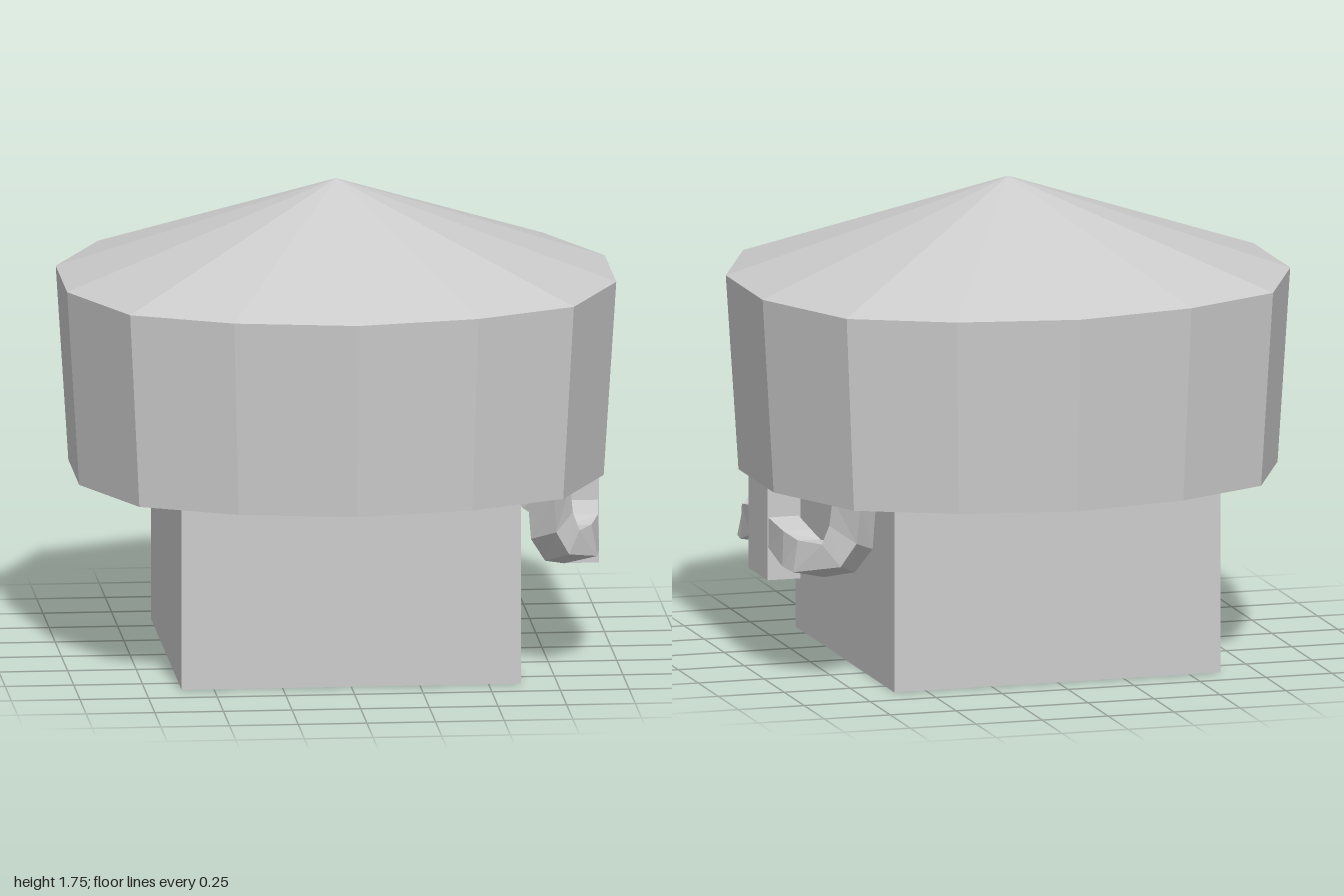
import * as THREE from 'three';
import { ConvexGeometry } from 'three/addons/geometries/ConvexGeometry.js';

const material = new THREE.MeshStandardMaterial({ color: 0xcccccc, flatShading: true });

function addMesh(parent, name, geometry) {
  const mesh = new THREE.Mesh(geometry, material);
  mesh.name = name;
  parent.add(mesh);
  return mesh;
}

// Flat-faced skin over rings of four corners, with both ends closed; side = -1 mirrors it in z
function loft(rings, side) {
  const pos = [];
  const tri = (a, b, c) => {
    for (const [x, y, z] of side > 0 ? [a, b, c] : [a, c, b]) pos.push(x, y, z * side);
  };
  const quad = (a, b, c, d) => { tri(a, b, c); tri(a, c, d); };
  for (let i = 0; i < rings.length - 1; i++) {
    const p = rings[i], q = rings[i + 1];
    for (let k = 0; k < 4; k++) {
      const n = (k + 1) % 4;
      quad(p[k], p[n], q[n], q[k]);
    }
  }
  const a = rings[0], b = rings[rings.length - 1];
  quad(a[3], a[2], a[1], a[0]);
  quad(b[0], b[1], b[2], b[3]);
  const geometry = new THREE.BufferGeometry();
  geometry.setAttribute('position', new THREE.Float32BufferAttribute(pos, 3));
  geometry.computeVertexNormals();
  return geometry;
}

export function createModel() {
  const model = new THREE.Group();
  model.name = 'model';

  // Square base block
  addMesh(model, 'base', new THREE.BoxGeometry(1.236, 0.7, 1.236)).position.y = 0.35;

  // Fourteen-sided cap: tapered wall with a shallow pointed roof
  const quarter = [[0, 0.908], [0.445, 0.826], [0.808, 0.648], [1, 0.23]];
  const points = [new THREE.Vector3(0, 1.755, 0)];
  for (const [x, z] of quarter)
    for (const sx of x ? [1, -1] : [1])
      for (const sz of [1, -1]) {
        points.push(new THREE.Vector3(x * sx, 1.4, z * sz));
        points.push(new THREE.Vector3(x * sx * 0.955, 0.682, z * sz * 0.955));
      }
  addMesh(model, 'cap', new ConvexGeometry(points));

  // Handle: centre grip with two curved arms rising to the cap
  const handle = new THREE.Group();
  handle.name = 'handle';
  model.add(handle);
  addMesh(handle, 'handleGrip', new THREE.BoxGeometry(0.125, 0.36, 0.235)).position.set(0.885, 0.516, 0);

  // Ring corners: ridge, outer, back, inner
  const rings = [
    [[0.81, 0.7, 0.48], [0.74, 0.7, 0.6], [0.65, 0.7, 0.5], [0.73, 0.7, 0.385]],
    [[0.82, 0.6, 0.47], [0.75, 0.55, 0.58], [0.665, 0.51, 0.5], [0.75, 0.6, 0.39]],
    [[0.845, 0.53, 0.46], [0.8, 0.46, 0.545], [0.72, 0.42, 0.46], [0.78, 0.525, 0.41]],
    [[0.9, 0.525, 0.34], [0.92, 0.41, 0.35], [0.8, 0.383, 0.34], [0.81, 0.52, 0.33]],
    [[0.93, 0.545, 0.26], [0.935, 0.415, 0.26], [0.82, 0.395, 0.26], [0.825, 0.545, 0.26]],
    [[0.945, 0.57, 0.11], [0.945, 0.46, 0.11], [0.83, 0.46, 0.11], [0.83, 0.57, 0.11]],
  ];
  addMesh(handle, 'handleArmFront', loft(rings, 1));
  addMesh(handle, 'handleArmBack', loft(rings, -1));

  return model;
}
